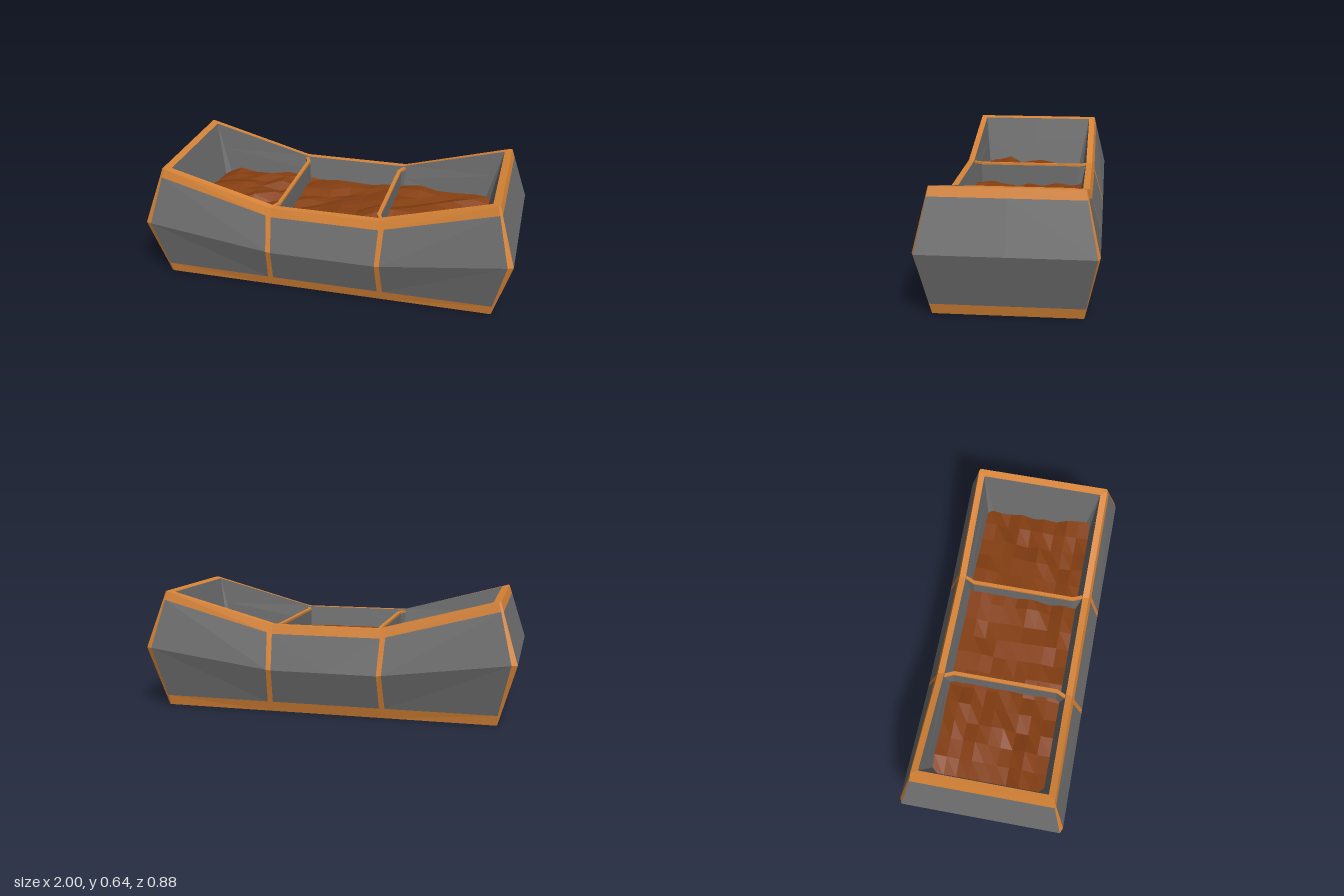
import * as THREE from 'three';

const mat = (color) => new THREE.MeshStandardMaterial({ color, flatShading: true });
const lerp = THREE.MathUtils.lerp;

// One quarter of the planter (+x, +z). Each column runs from under the floor,
// up the bulged outside, over the rim and down the inner wall.
// x, z: [bottom, bulge, top]; ym: bulge height; yt: rim height; inner: [x, z] at the rim; low: [x, z] at the soil
const columns = [
  { x: [0, 0, 0], z: [0.37, 0.44, 0.37], ym: 0.24, yt: 0.475, inner: [0, 0.335], low: [0, 0.3] },
  { x: [0.295, 0.285, 0.295], z: [0.37, 0.44, 0.37], ym: 0.24, yt: 0.475, inner: [0.285, 0.335], low: [0.28, 0.3] },
  { x: [0.325, 0.312, 0.325], z: [0.37, 0.44, 0.37], ym: 0.243, yt: 0.482, inner: [0.31, 0.335], low: [0.3, 0.3] },
  { x: [0.895, 0.97, 0.895], z: [0.37, 0.44, 0.37], ym: 0.33, yt: 0.637, inner: [0.865, 0.335], low: [0.77, 0.3] },
  { x: [0.905, 1, 0.905], z: [0.366, 0.428, 0.366], ym: 0.33, yt: 0.637, inner: [0.865, 0.335], low: [0.8, 0.27] },
  { x: [0.905, 1, 0.905], z: [0, 0, 0], ym: 0.33, yt: 0.637, inner: [0.865, 0], low: [0.8, 0] },
];

function columnPoints({ x, z, ym, yt, inner, low }) {
  const b = 0.055 / ym;                 // base band
  const t = 0.047 / (yt - ym);          // rim band
  const yi = yt - (inner[0] > 0.5 ? 0.007 : 0);
  return [
    [x[0], 0, 0],
    [x[0], 0, z[0]],
    [lerp(x[0], x[1], b), 0.055, lerp(z[0], z[1], b)],
    [x[1], ym, z[1]],
    [lerp(x[2], x[1], t), yt - 0.047, lerp(z[2], z[1], t)],
    [x[2], yt, z[2]],
    [inner[0], yi, inner[1]],
    [lerp(inner[0], low[0], 0.45), lerp(yi, 0.3, 0.45), lerp(inner[1], low[1], 0.45)],
    [low[0], 0.3, low[1]],
  ];
}

// Which part the cell between two columns and two rows belongs to
function partOf(col, row) {
  if (row === 0) return 'underside';
  if (row === 1) return 'baseTrim';
  if (row === 4 || row === 5) return 'rimTrim';
  if (row > 5) return 'innerWall';
  if (col === 1) return 'ribTrim';
  if (col === 3) return 'cornerTrim';
  return 'outerPanels';
}

export function createModel() {
  const group = new THREE.Group();
  group.name = 'planter';
  const grey = mat(0x6e6e6e);
  const orange = mat(0xd88436);
  const brown = mat(0x863f12);
  const add = (geometry, material, name) => {
    const mesh = new THREE.Mesh(geometry, material);
    mesh.name = name;
    group.add(mesh);
    return mesh;
  };

  // Shell: the quarter mirrored four ways, sorted into parts
  const grid = columns.map(columnPoints);
  const parts = {};
  for (const sx of [1, -1]) for (const sz of [1, -1]) {
    for (let i = 0; i < grid.length - 1; i++) for (let j = 0; j < grid[0].length - 1; j++) {
      let [a, b, c, d] = [grid[i][j], grid[i + 1][j], grid[i + 1][j + 1], grid[i][j + 1]];
      if (sx * sz < 0) [b, d] = [d, b];
      const out = (parts[partOf(i, j)] ??= []);
      for (const p of [a, b, c, a, c, d]) out.push(p[0] * sx, p[1], p[2] * sz);
    }
  }
  for (const [name, positions] of Object.entries(parts)) {
    const g = new THREE.BufferGeometry();
    g.setAttribute('position', new THREE.Float32BufferAttribute(positions, 3));
    g.computeVertexNormals();
    add(g, name.endsWith('Trim') ? orange : grey, name);
  }

  // Two dividers with splayed ends and a trimmed top edge
  for (const s of [1, -1]) {
    const path = [[0.298, 0.335], [0.275, 0.285], [0.275, -0.285], [0.298, -0.335]];
    const outline = [
      ...path.map(([x, z]) => new THREE.Vector2(s * (x + 0.01), z)),
      ...path.reverse().map(([x, z]) => new THREE.Vector2(s * (x - 0.01), z)),
    ];
    const slab = (y, height) => new THREE.ExtrudeGeometry(new THREE.Shape(outline), { depth: height, bevelEnabled: false })
      .rotateX(-Math.PI / 2).translate(0, y, 0);
    const side = s > 0 ? 'left' : 'right';
    add(slab(0.28, 0.178), grey, side + 'Divider');
    add(slab(0.458, 0.012), orange, side + 'DividerTrim');
  }

  // Lumpy soil
  let seed = 7;
  const rand = () => (seed = (seed * 16807) % 2147483647) / 2147483647;
  const soil = new THREE.PlaneGeometry(1.63, 0.614, 16, 9).rotateX(-Math.PI / 2);
  const p = soil.attributes.position;
  for (let i = 0; i < p.count; i++) {
    const x = p.getX(i), z = p.getZ(i);
    p.setY(i, 0.352 + 0.012 * Math.sin(x * 7 + z * 5) + (rand() - 0.5) * 0.04);
  }
  soil.computeVertexNormals();
  add(soil, brown, 'soil');

  return group;
}
